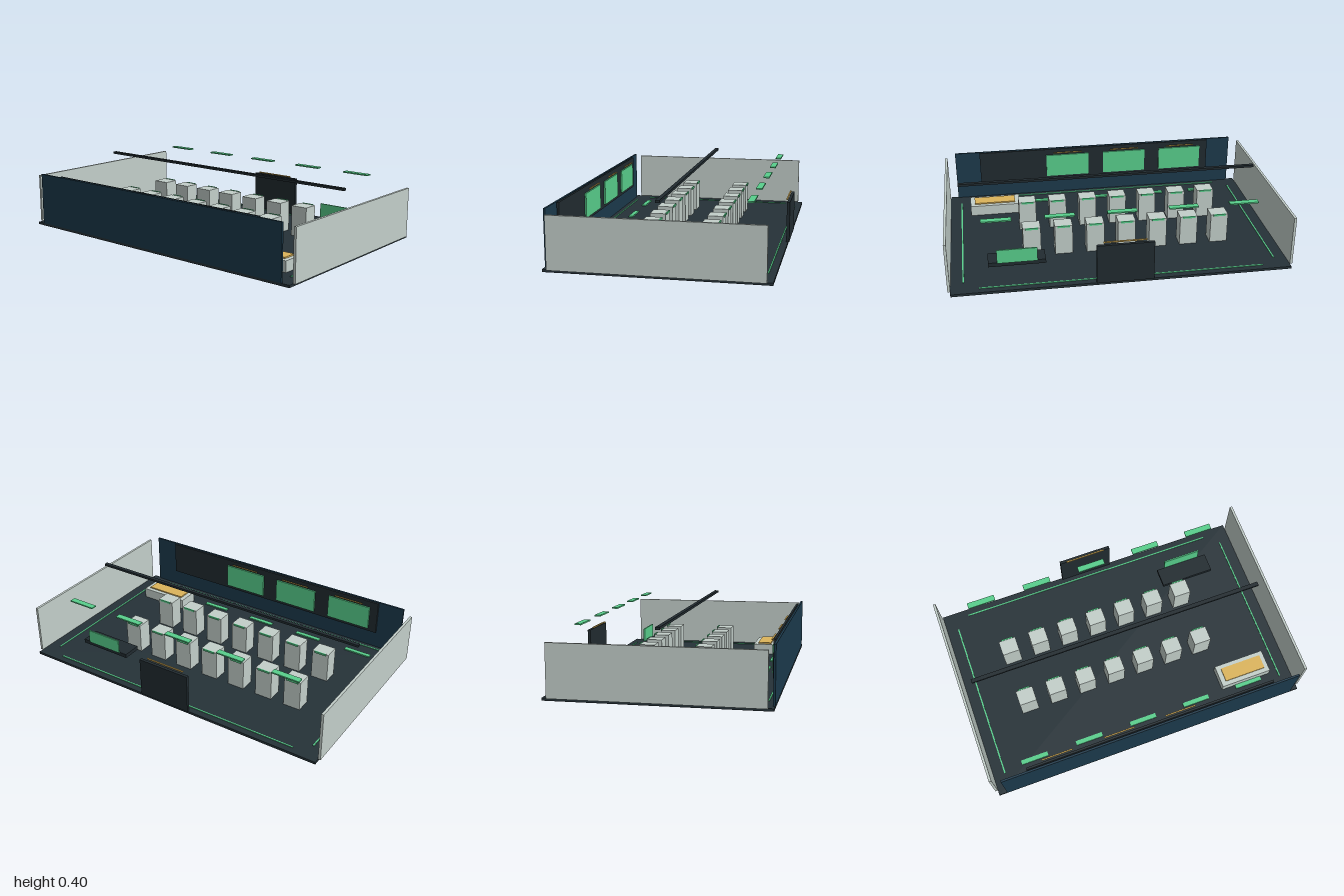
import * as THREE from 'three';

const mat = (color) => new THREE.MeshStandardMaterial({ color });

export function createModel() {
  const room = new THREE.Group();
  room.name = 'room';
  const floorDark = mat(0x263238), dark = mat(0x212b30), navy = mat(0x1c3a4c);
  const pale = mat(0xc3cfca), green = mat(0x58cf8c), amber = mat(0xdcb45a);

  // Box given by its x, y and z ranges
  const box = (name, material, [x0, x1], [y0, y1], [z0, z1], parent = room) => {
    const mesh = new THREE.Mesh(new THREE.BoxGeometry(x1 - x0, y1 - y0, z1 - z0), material);
    mesh.position.set((x0 + x1) / 2, (y0 + y1) / 2, (z0 + z1) / 2);
    mesh.name = name;
    parent.add(mesh);
    return mesh;
  };
  const around = (c, size) => [c - size / 2, c + size / 2];

  // Shell: floor slab, side walls, front wall with its inner board
  box('floor', floorDark, [-0.985, 0.985], [0, 0.015], [-0.615, 0.615]);
  for (const s of [-1, 1]) {
    box(s > 0 ? 'leftWall' : 'rightWall', pale, around(s * 0.9925, 0.015), [0.015, 0.315], [-0.585, 0.585]);
  }
  box('frontWall', navy, [-0.935, 0.935], [0.015, 0.335], [0.604, 0.616]);
  box('wallBoard', dark, [-0.775, 0.775], [0.125, 0.335], [0.585, 0.598]);

  // Wall screens, each with an amber light strip
  for (const x of [-0.58, -0.195, 0.19]) {
    box('wallScreen', green, around(x, 0.285), [0.145, 0.295], [0.576, 0.585]);
    box('screenLight', amber, around(x, 0.19), [0.312, 0.317], [0.564, 0.572]);
  }

  // Back door and its light strip
  box('backDoor', dark, [-0.165, 0.165], [0.015, 0.255], [-0.622, -0.604]);
  box('doorLight', amber, [-0.125, 0.125], [0.261, 0.268], [-0.604, -0.596]);

  // Thin guide lines on the floor
  for (const s of [-1, 1]) {
    box('sideGuideLine', green, around(s * 0.913, 0.008), [0.015, 0.019], [-0.5, 0.5]);
    box('endGuideLine', green, [-0.825, 0.825], [0.015, 0.019], around(s * 0.572, 0.008));
  }

  // Overhead beam, ceiling lights along the back, floor lights along the front
  box('ceilingBeam', dark, [-0.915, 0.915], [0.386, 0.4], [-0.012, 0.012]);
  for (let i = -2; i <= 2; i++) {
    box('ceilingLight', green, around(i * 0.355 - 0.003, 0.17), [0.38, 0.388], around(-0.47, 0.036));
    box('floorLight', green, around(i * 0.355 - 0.003, 0.17), [0.015, 0.023], around(0.473, 0.027));
  }

  // Two rows of seven block seats with a strip on the back edge
  for (const z of [-0.21, 0.132]) {
    for (let i = 0; i < 7; i++) {
      const seat = new THREE.Group();
      seat.name = 'seat';
      seat.position.set(-0.64 + i * 0.19, 0, z);
      box('seatBlock', pale, around(0, 0.106), [0.015, 0.2], around(0, 0.092), seat);
      box('seatStrip', green, around(0, 0.075), [0.192, 0.203], [-0.053, -0.045], seat);
      room.add(seat);
    }
  }

  // Low counter with amber top
  box('counter', pale, [0.535, 0.853], [0.015, 0.08], [0.322, 0.461]);
  box('counterTop', amber, [0.565, 0.826], [0.08, 0.088], [0.348, 0.434]);

  // Console slab with an upright screen
  box('console', dark, [0.433, 0.767], [0.06, 0.085], [-0.425, -0.31]);
  box('consoleScreen', green, [0.482, 0.716], [0.085, 0.17], [-0.434, -0.425]);

  return room;
}
